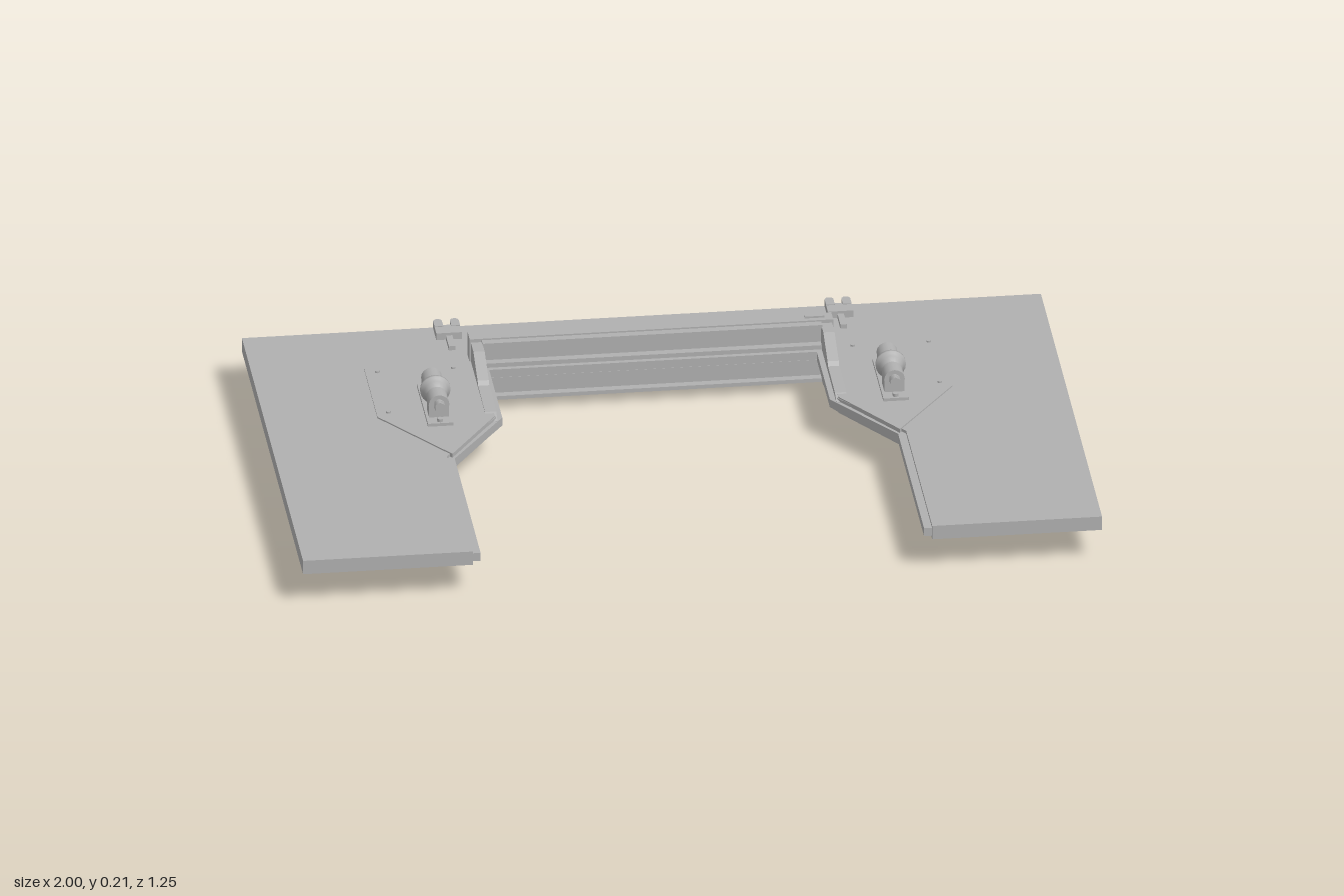
import * as THREE from 'three';

const MID = 0.107; // height of the board's middle plane

export function createModel() {
  const model = new THREE.Group();
  model.name = 'cutoutBoard';
  const grey = new THREE.MeshStandardMaterial({ color: 0xb0b0b0 });
  grey.name = 'grey';

  const add = (parent, name, geo, x = 0, y = 0, z = 0) => {
    const mesh = new THREE.Mesh(geo, grey);
    mesh.name = name;
    mesh.position.set(x, y, z);
    parent.add(mesh);
    return mesh;
  };
  const box = (parent, name, w, h, d, x, y, z) =>
    add(parent, name, new THREE.BoxGeometry(w, h, d), x, y, z);
  const shapeOf = (pts) => new THREE.Shape(pts.map(([a, b]) => new THREE.Vector2(a, b)));

  // Horizontal slab from [x, z] points, centred on the middle plane
  const slab = (pts, thick) => {
    const g = new THREE.ExtrudeGeometry(shapeOf(pts.map(([x, z]) => [x, -z])), { depth: thick, bevelEnabled: false });
    g.rotateX(-Math.PI / 2);
    g.translate(0, MID - thick / 2, 0);
    return g;
  };
  // Vertical plate from [z, y] points, spanning x0 to x0 + thick
  const upright = (pts, x0, thick) => {
    const g = new THREE.ExtrudeGeometry(shapeOf(pts), { depth: thick, bevelEnabled: false });
    g.rotateY(-Math.PI / 2);
    g.translate(x0 + thick, 0, 0);
    return g;
  };
  const mirrorX = (half) => [...half, ...half.slice().reverse().map(([x, z]) => [-x, z])];

  // Board with its stepped inner lip
  const outer = [[1, -0.62], [1, 0.62]];
  const board = [...outer, [0.575, 0.62], [0.575, 0.09], [0.427, -0.11], [0.427, -0.397]];
  const lip = [[0.7, -0.5], [0.7, 0.615], [0.555, 0.615], [0.555, 0.09], [0.41, -0.12], [0.41, -0.385]];
  add(model, 'board', slab(mirrorX(board), 0.037));
  add(model, 'innerLip', slab(mirrorX(lip), 0.022));

  // Rear beam standing through the board, with thin flanges at its front
  box(model, 'rearBeam', 0.91, 0.166, 0.04, 0, MID, -0.436);
  for (const s of [-1, 1]) {
    box(model, 'beamFlange', 0.85, 0.01, 0.022, 0, MID + s * 0.074, -0.407);
    box(model, 'beamLedge', 0.85, 0.006, 0.022, 0, MID + s * 0.02, -0.407);
  }
  box(model, 'latch', 0.05, 0.006, 0.018, 0.41, 0.192, -0.438);

  // Barrel roller profile, turned around the z axis
  const rollerProfile = [
    [0, -0.032], [0.016, -0.032], [0.022, -0.028], [0.03, -0.015], [0.032, -0.005], [0.038, -0.004],
    [0.038, 0.004], [0.032, 0.005], [0.03, 0.015], [0.022, 0.028], [0.016, 0.032], [0, 0.032],
  ].map(([r, y]) => new THREE.Vector2(r, y));
  const rollerGeo = new THREE.LatheGeometry(rollerProfile, 20).rotateX(Math.PI / 2);
  const rod = (r, len, n = 16) => new THREE.CylinderGeometry(r, r, len, n).rotateX(Math.PI / 2);

  // Gusset outline, symmetric above and below the board
  const gussetTop = [[-0.417, 0.074], [-0.365, 0.074], [-0.28, 0.036], [-0.27, 0.027], [-0.13, 0.024], [-0.1, 0.012]];
  const gusset = [
    ...gussetTop.map(([z, h]) => [z, MID + h]),
    ...gussetTop.slice().reverse().map(([z, h]) => [z, MID - h]),
  ];

  for (const side of [-1, 1]) {
    const g = new THREE.Group();
    g.name = side > 0 ? 'leftFittings' : 'rightFittings';
    model.add(g);

    // Mounting plate, showing slightly above and below the board
    const plate = [[0.72, -0.415], [0.72, -0.14], [0.56, 0.085], [0.43, -0.11], [0.43, -0.415]];
    add(g, 'mountingPlate', slab(plate.map(([x, z]) => [side * x, z]), 0.044));
    add(g, 'gusset', upright(gusset, side > 0 ? 0.424 : -0.452, 0.028));

    // Rollers on bearing brackets, above and below
    const x = side * 0.57;
    for (const s of [-1, 1]) {
      const r = new THREE.Group();
      r.name = s > 0 ? 'upperRoller' : 'lowerRoller';
      r.position.set(x, MID, -0.183);
      r.scale.y = 1;
      if (s < 0) r.rotation.z = Math.PI;
      g.add(r);
      box(r, 'basePlate', 0.064, 0.01, 0.225, 0, 0.025, 0);
      for (const e of [-1, 1]) {
        box(r, 'bearingBlock', 0.05, 0.042, 0.048, 0, 0.043, e * 0.054);
        add(r, 'bearingCap', rod(0.026, 0.048), 0, 0.064, e * 0.054);
        add(r, 'axleNut', rod(0.014, 0.022, 6), 0, 0.066, e * 0.088);
        add(r, 'baseBolt', new THREE.CylinderGeometry(0.008, 0.008, 0.008, 6), 0, 0.034, e * 0.1);
      }
      add(r, 'axle', rod(0.012, 0.17), 0, 0.067, 0);
      add(r, 'barrel', rollerGeo, 0, 0.068, 0);

      // Plate bolts
      for (const [bx, bz] of [[0.69, -0.385], [0.69, -0.16], [0.5, -0.385]])
        add(g, 'plateBolt', new THREE.CylinderGeometry(0.006, 0.006, 0.005, 8), side * bx, MID + s * 0.024, bz);
    }

    // Forked clip wrapping the rear edge
    const clip = new THREE.Group();
    clip.name = 'edgeClip';
    clip.position.set(side * 0.49, MID, 0);
    g.add(clip);
    for (const s of [-1, 1]) {
      box(clip, 'clipJaw', 0.064, 0.02, 0.045, 0, s * 0.027, -0.572);
      box(clip, 'clipTongue', 0.016, 0.012, 0.065, 0, s * 0.024, -0.522);
      for (const e of [-1, 1]) {
        const prong = new THREE.CylinderGeometry(0.011, 0.011, 0.02, 12);
        box(clip, 'clipProng', 0.022, 0.02, 0.03, e * 0.021, s * 0.029, -0.6);
        add(clip, 'prongTip', prong, e * 0.021, s * 0.029, -0.614);
      }
    }
    for (const e of [-1, 1]) box(clip, 'clipBridge', 0.018, 0.06, 0.008, e * 0.021, 0, -0.62);
  }
  return model;
}
